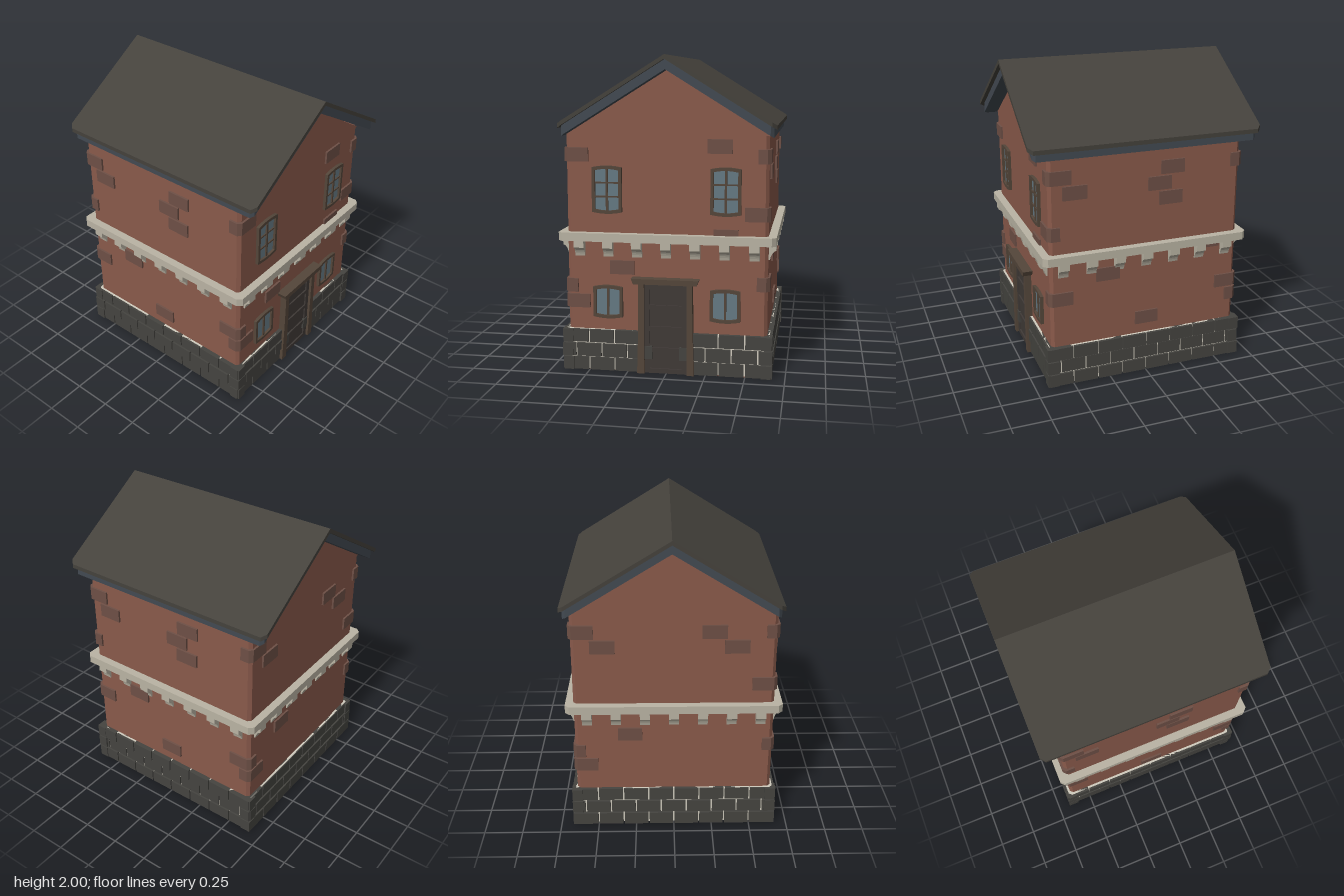
import * as THREE from 'three';

const mat = (color, opts = {}) => new THREE.MeshStandardMaterial({ color, flatShading: true, ...opts });
const M = {
  wall: mat(0x8a5a4b), brick: mat(0x6e5046), trim: mat(0xbab4a4), roof: mat(0x45423c),
  fascia: mat(0x434a52), stone: mat(0x454440), mortar: mat(0xd0cbbd), door: mat(0x403a37),
  wood: mat(0x54463a), glass: mat(0x667a84),
};

function add(parent, name, geo, material, x = 0, y = 0, z = 0) {
  const m = new THREE.Mesh(geo, material);
  m.name = name;
  m.position.set(x, y, z);
  parent.add(m);
  return m;
}

const box = (parent, name, material, w, h, d, x, y, z) =>
  add(parent, name, new THREE.BoxGeometry(w, h, d), material, x, y, z);

const extrude = (shape, depth) => new THREE.ExtrudeGeometry(shape, { depth, bevelEnabled: false, curveSegments: 6 });
const polygon = (pts) => new THREE.Shape(pts.map((p) => new THREE.Vector2(...p)));

// Plan outline pushed upward
const plan = (pts, h) => extrude(polygon(pts), h).rotateX(-Math.PI / 2);

// Square prism with chamfered vertical edges
function chamferedPrism(r, c, h) {
  const a = r - c;
  return plan([[a, -r], [r, -a], [r, a], [a, r], [-a, r], [-r, a], [-r, -a], [-a, -r]], h);
}

// One roof slope: a flat plate with chamfered eave corners, sheared down away from the ridge
function slope(halfW, halfD, c, thick, drop) {
  const g = plan([[0, -halfD], [halfW - c, -halfD], [halfW, c - halfD], [halfW, halfD - c], [halfW - c, halfD], [0, halfD]], thick);
  const p = g.attributes.position;
  for (let i = 0; i < p.count; i++) p.setY(i, p.getY(i) - drop * p.getX(i));
  g.computeVertexNormals();
  return g;
}

// Window outline with bowed top and bottom
function bowed(path, w, h, bow) {
  path.moveTo(-w / 2, -h / 2 + bow);
  path.quadraticCurveTo(0, -h / 2 - bow, w / 2, -h / 2 + bow);
  path.lineTo(w / 2, h / 2 - bow);
  path.quadraticCurveTo(0, h / 2 + bow, -w / 2, h / 2 - bow);
  path.closePath();
  return path;
}

function makeWindow(h, rows) {
  const g = new THREE.Group();
  g.name = 'window';
  const w = 0.19, f = 0.02;
  const frame = bowed(new THREE.Shape(), w, h, 0.011);
  frame.holes.push(bowed(new THREE.Path(), w - 2 * f, h - 2 * f, 0.009));
  add(g, 'windowFrame', extrude(frame, 0.03), M.wood, 0, 0, 0.625);
  add(g, 'windowGlass', extrude(bowed(new THREE.Shape(), w - f, h - f, 0.01), 0.012), M.glass, 0, 0, 0.628);
  box(g, 'mullion', M.wood, 0.014, h - f, 0.02, 0, 0, 0.64);
  for (let i = 1; i < rows; i++)
    box(g, 'glazingBar', M.wood, w - f, 0.01, 0.016, 0, (i / rows - 0.5) * (h - 2 * f), 0.64);
  return g;
}

function makeDoor() {
  const g = new THREE.Group();
  g.name = 'door';
  box(g, 'doorLeaf', M.door, 0.28, 0.585, 0.03, 0, 0.297, 0.637);
  // raised stiles and rails leave four sunken panels
  for (const s of [-1, 1]) box(g, 'doorStile', M.door, 0.035, 0.585, 0.012, s * 0.12, 0.297, 0.656);
  for (let i = 0; i < 5; i++) box(g, 'doorRail', M.door, 0.21, 0.03, 0.012, 0, 0.02 + i * 0.138, 0.656);
  // jambs flare slightly toward the ground
  for (const s of [-1, 1]) {
    const pts = [[0.135, 0.004], [0.182, 0.004], [0.173, 0.3], [0.17, 0.595], [0.135, 0.595]];
    const shape = polygon(pts.map(([x, y]) => [s * x, y]));
    add(g, 'doorJamb', extrude(shape, 0.06), M.wood, 0, 0, 0.62);
  }
  const lintel = polygon([[-0.2, 0.588], [0.2, 0.588], [0.214, 0.622], [-0.214, 0.622]]);
  add(g, 'doorLintel', extrude(lintel, 0.08), M.wood, 0, 0, 0.62);
  return g;
}

// Brick that wraps a chamfered corner; lx runs along x and lz along z
function cornerBrick(lx, lz) {
  const r = 0.648, c = 0.022, h = 0.088;
  return plan([[r - lx, -r], [r - c, -r], [r, c - r], [r, lz - r], [r - lx, lz - r]], h).translate(0, -h / 2, 0);
}

// Foundation stones for one side, in running bond
function addStones(side, index) {
  const step = 0.166, end = 0.67;
  for (let row = 0; row < 3; row++) {
    const edges = [-end];
    for (let k = -4; k <= 4; k++) {
      const x = (k + (row % 2 ? 0.5 : 0)) * step;
      if (Math.abs(x) < end - 0.05) edges.push(x);
    }
    edges.push(end);
    for (let i = 0; i + 1 < edges.length; i++) {
      const a = edges[i], b = edges[i + 1];
      if (index === 0 && a > -0.17 && b < 0.17) continue;
      const gap = 0.009;
      const x0 = a === -end ? a : a + gap / 2, x1 = b === end ? b : b - gap / 2;
      const out = 0.664 + 0.003 * (((i * 5 + row * 3 + index * 2) % 5) - 2);
      box(side, 'foundationStone', M.stone, x1 - x0, 0.084, out - 0.6, (x0 + x1) / 2, 0.047 + row * 0.0915, (out + 0.6) / 2);
    }
  }
}

export function createModel() {
  const house = new THREE.Group();
  house.name = 'house';

  // Walls and gable
  add(house, 'walls', chamferedPrism(0.635, 0.02, 1.52), M.wall);
  const gable = polygon([[-0.635, 1.515], [0.635, 1.515], [0.012, 1.925]]);
  add(house, 'gable', extrude(gable, 1.27), M.wall, 0, 0, -0.635);
  add(house, 'mortar', chamferedPrism(0.65, 0.02, 0.262), M.mortar, 0, 0.01, 0);
  add(house, 'ledge', chamferedPrism(0.686, 0.028, 0.053), M.trim, 0, 0.847, 0);

  // Roof
  for (const turn of [0, Math.PI]) {
    add(house, 'roofSlope', slope(0.672, 0.757, 0.028, 0.027, 0.617), M.roof, 0.012, 1.973, 0).rotation.y = turn;
    add(house, 'roofFascia', slope(0.652, 0.73, 0.02, 0.062, 0.617), M.fascia, 0.012, 1.912, 0).rotation.y = turn;
  }

  // Corbel profile, outward along +x
  const profile = new THREE.Shape();
  profile.moveTo(-0.02, 0);
  profile.lineTo(-0.02, -0.1);
  profile.lineTo(0.008, -0.1);
  profile.quadraticCurveTo(0.018, -0.05, 0.046, -0.042);
  profile.lineTo(0.046, 0);
  profile.closePath();
  const corbel = extrude(profile, 0.063).translate(0, 0, -0.0315).rotateY(-Math.PI / 2);

  // Loose bricks on each side as [x, y], each side seen from outside
  const flank = [[0.17, 1.39], [-0.47, 1.29], [0.085, 1.29], [0.16, 1.19], [0.43, 0.855], [-0.26, 0.73], [0.005, 0.385]];
  const bricks = [
    [[0.335, 1.45], [0.375, 0.895], [-0.28, 0.68]],
    flank,
    [[-0.44, 1.29], [0.25, 1.39], [0.39, 1.29], [-0.28, 0.68]],
    flank,
  ];

  for (let i = 0; i < 4; i++) {
    const side = new THREE.Group();
    side.name = ['frontSide', 'leftSide', 'backSide', 'rightSide'][i];
    side.rotation.y = i * Math.PI / 2;
    house.add(side);
    addStones(side, i);
    for (let k = -3; k <= 3; k++) add(side, 'corbel', corbel, M.trim, k * 0.184, 0.847, 0.635);
    for (const [x, y] of bricks[i]) box(side, 'brick', M.brick, 0.155, 0.088, 0.04, x, y, 0.628);
    // corner bricks: [y, length along this side, length around the corner]
    const L = 0.157, S = 0.08;
    const corners = i % 2 ? [[1.39, S, L], [0.555, L, S], [0.455, S, L]] : [[1.39, S, L], [1.035, L, S], [0.6, S, L]];
    for (const [y, a, b] of corners) add(side, 'cornerBrick', cornerBrick(a, b).rotateX(0), M.brick, 0, y, 0).scale.z = 1;
  }

  // Door and windows on the front
  house.add(makeDoor());
  for (const s of [-1, 1]) {
    for (const [y, h, rows] of [[1.172, 0.302, 3], [0.455, 0.215, 1]]) {
      const w = makeWindow(h, rows);
      w.position.set(s * 0.373, y, 0);
      house.add(w);
    }
  }
  return house;
}
